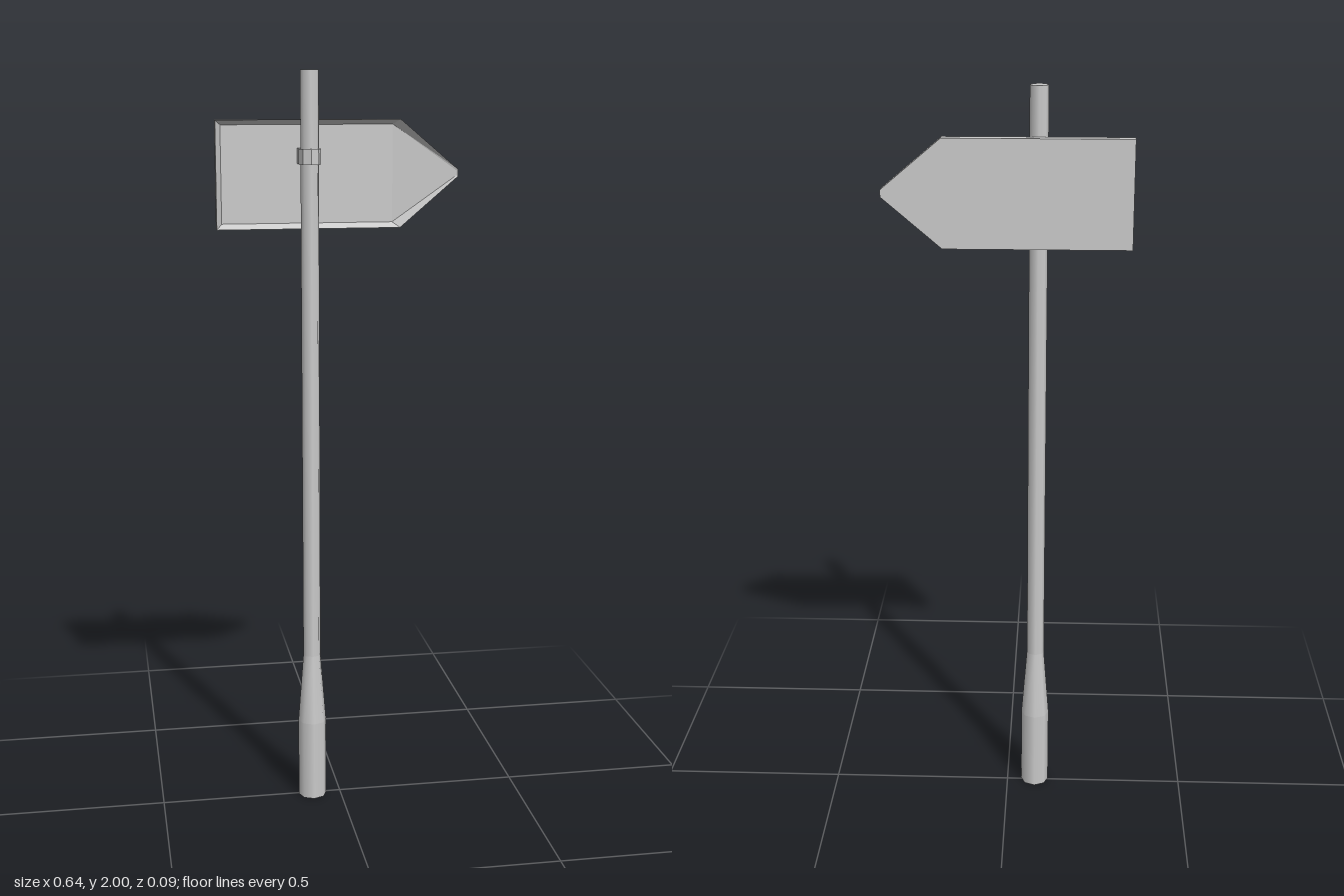
import * as THREE from 'three';

const grey = new THREE.MeshStandardMaterial({ color: 0xcccccc, side: THREE.DoubleSide });
const flatGrey = new THREE.MeshStandardMaterial({ color: 0xcccccc, flatShading: true, side: THREE.DoubleSide });
const POLE_X = -0.079, POLE_Z = 0.005, SIDES = 8;

function addMesh(group, name, geometry, material, x = 0, y = 0, z = 0) {
  const mesh = new THREE.Mesh(geometry, material);
  mesh.name = name;
  mesh.position.set(x, y, z);
  group.add(mesh);
  return mesh;
}

// Open octagonal tube between two heights
function addTube(group, name, rBottom, rTop, y0, y1) {
  const geometry = new THREE.CylinderGeometry(rTop, rBottom, y1 - y0, SIDES, 1, true);
  addMesh(group, name, geometry, grey, POLE_X, (y0 + y1) / 2, POLE_Z);
}

// Arrow-shaped tray: back outline, front lip and recessed floor, joined ring to ring
function signGeometry() {
  const back = -0.047, lip = -0.018, floor = -0.043;
  const outline = [[-0.32, 1.595], [0.165, 1.595], [0.32, 1.727], [0.32, 1.745], [0.165, 1.875], [-0.32, 1.875]];
  // The floor ramps up to the lip at the arrow tip
  const inner = [
    [-0.305, 1.608, floor], [0.148, 1.608, floor], [0.315, 1.729, lip - 0.002],
    [0.315, 1.743, lip - 0.002], [0.148, 1.862, floor], [-0.305, 1.862, floor],
  ];
  const rings = [outline.map(([x, y]) => [x, y, back]), outline.map(([x, y]) => [x, y, lip]), inner];
  const n = outline.length;
  const index = [];
  for (let r = 0; r < 2; r++) {
    for (let i = 0; i < n; i++) {
      const a = r * n + i, b = r * n + (i + 1) % n;
      index.push(a, b, b + n, a, b + n, a + n);
    }
  }
  // Back panel and floor
  for (const [a, b, c] of [[0, 1, 4], [0, 4, 5], [1, 2, 3], [1, 3, 4]]) {
    index.push(a, c, b, a + 2 * n, b + 2 * n, c + 2 * n);
  }
  const geometry = new THREE.BufferGeometry();
  geometry.setAttribute('position', new THREE.Float32BufferAttribute(rings.flat(2), 3));
  geometry.setIndex(index);
  const faceted = geometry.toNonIndexed();
  faceted.computeVertexNormals();
  return faceted;
}

export function createModel() {
  const model = new THREE.Group();
  model.name = 'signpost';

  // Post: wide base, taper, slim pole and cap
  const post = new THREE.Group();
  post.name = 'post';
  addTube(post, 'base', 0.039, 0.039, 0, 0.225);
  addTube(post, 'taper', 0.039, 0.024, 0.225, 0.42);
  addTube(post, 'pole', 0.024, 0.024, 0.42, 2);
  const cap = new THREE.CircleGeometry(0.024, SIDES).rotateX(-Math.PI / 2);
  addMesh(post, 'poleCap', cap, grey, POLE_X, 2, POLE_Z);
  model.add(post);

  // Clamp collar and the bracket reaching into the sign
  const clamp = new THREE.Group();
  clamp.name = 'clamp';
  addMesh(clamp, 'collar', new THREE.CylinderGeometry(0.029, 0.029, 0.04, SIDES), flatGrey, POLE_X, 1.782, POLE_Z);
  addMesh(clamp, 'bracket', new THREE.BoxGeometry(0.052, 0.04, 0.05), flatGrey, POLE_X, 1.782, -0.019);
  model.add(clamp);

  // Arrow sign
  addMesh(model, 'arrowSign', signGeometry(), flatGrey);
  return model;
}
